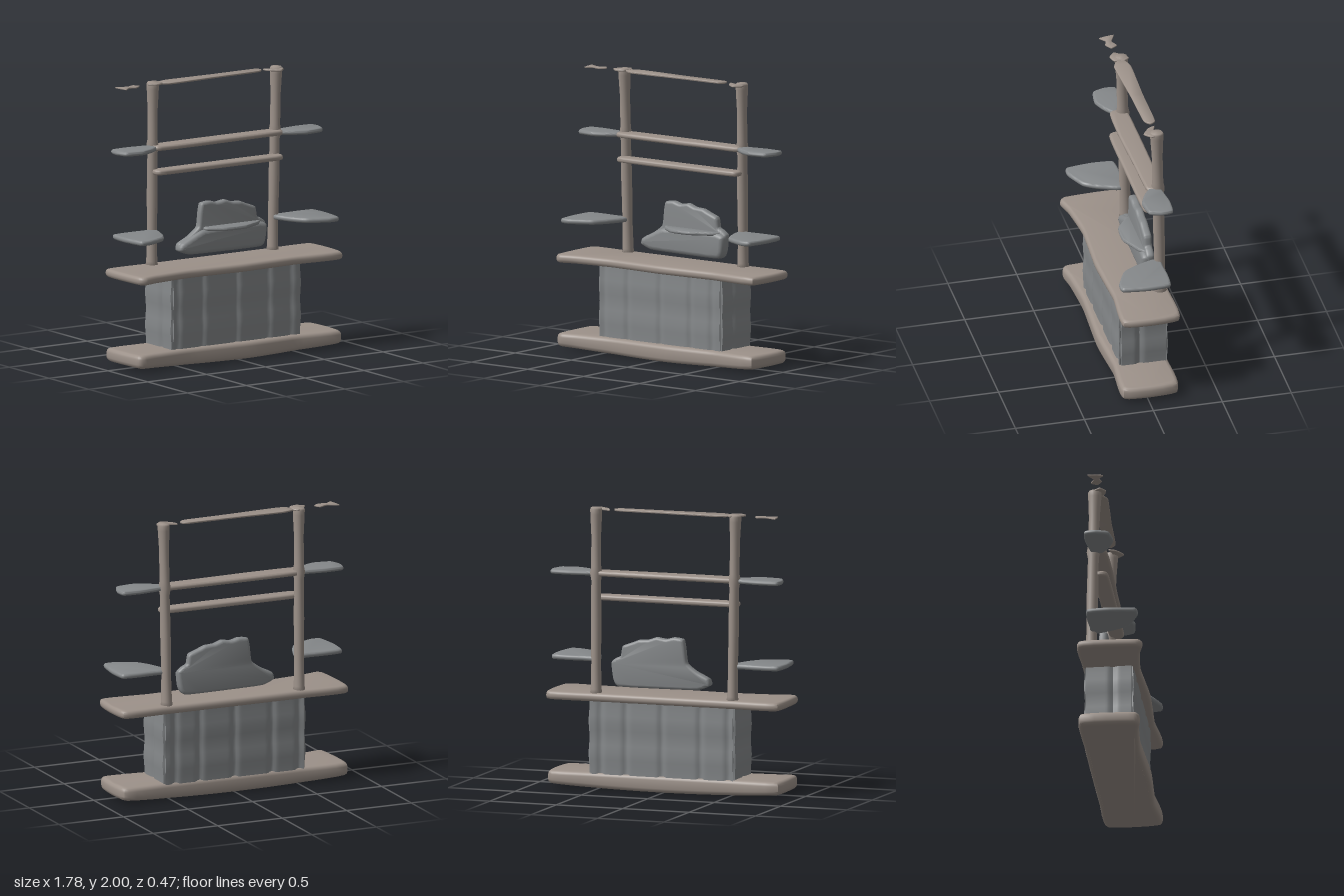
import * as THREE from 'three';
import { toCreasedNormals } from 'three/addons/utils/BufferGeometryUtils.js';

const wood = new THREE.MeshStandardMaterial({ color: 0x9c9189 });
const slate = new THREE.MeshStandardMaterial({ color: 0x85888a });

function add(group, name, geometry, material) {
  const mesh = new THREE.Mesh(geometry, material);
  mesh.name = name;
  group.add(mesh);
  return mesh;
}

// Move every vertex by a rule, then restore soft normals
function bend(geometry, rule) {
  const p = geometry.attributes.position;
  const v = new THREE.Vector3();
  for (let i = 0; i < p.count; i++) {
    rule(v.fromBufferAttribute(p, i));
    p.setXYZ(i, v.x, v.y, v.z);
  }
  geometry.computeVertexNormals();
  return geometry;
}

// Smooth closed outline from a few points
function softShape(points, tension = 0.25) {
  const curve = new THREE.CatmullRomCurve3(
    points.map(([x, y]) => new THREE.Vector3(x, y, 0)), true, 'catmullrom', tension);
  return new THREE.Shape(curve.getPoints(points.length * 6).map((p) => new THREE.Vector2(p.x, p.y)));
}

// Rounded slab: the outline is extruded along z from 0 to depth
function slab(points, depth, bevel) {
  return new THREE.ExtrudeGeometry(softShape(points), {
    depth: depth - 2 * bevel, bevelEnabled: true, bevelThickness: bevel,
    bevelSize: bevel, bevelOffset: -bevel, bevelSegments: 3,
  }).translate(0, 0, bevel);
}

// Horizontal board from [x, z] points, between heights y0 and y1
function board(points, y0, y1, bevel) {
  const g = slab(points.map(([x, z]) => [x, -z]), y1 - y0, bevel);
  g.rotateX(-Math.PI / 2).translate(0, y0, 0);
  return toCreasedNormals(g, 0.9);
}

export function createModel() {
  const model = new THREE.Group();

  // Base plank, its ends lifting slightly off the floor
  const base = board([[-0.87, -0.21], [-0.5, -0.22], [0, -0.22], [0.5, -0.22], [0.86, -0.21], [0.86, 0.18],
    [0.5, 0.17], [0.1, 0.19], [-0.4, 0.17], [-0.7, 0.19], [-0.82, 0.21], [-0.87, 0.17]], 0, 0.12, 0.03);
  add(model, 'base', toCreasedNormals(bend(base, (v) => {
    if (v.y < 0.06) v.y += 0.025 * Math.min(1, (v.x / 0.86) ** 2);
  }), 0.9), wood);

  // Cabinet with shallow upright panels on all sides
  const cabinet = new THREE.BoxGeometry(1.1, 0.52, 0.35, 80, 10, 24);
  add(model, 'cabinet', toCreasedNormals(bend(cabinet, (v) => {
    const onFront = Math.abs(v.z) > 0.174, onSide = Math.abs(v.x) > 0.549;
    const sx = Math.sign(v.x), sz = Math.sign(v.z);
    const band = 0.008 * Math.cos(v.y / 0.26 * 7);
    const x = v.x, z = v.z;
    if (onFront) {
      let groove = 0;
      for (const gx of [-0.5, -0.29, 0, 0.27, 0.46]) groove += 0.014 * Math.exp(-(((x - gx) / 0.022) ** 2));
      v.z -= sz * (groove + band * 0.4);
    }
    if (onSide) v.x -= sx * (0.014 * Math.exp(-(((z - 0.03) / 0.02) ** 2)) + band * 0.5);
    if (onFront && onSide) { v.x -= sx * 0.015; v.z -= sz * 0.01; }
  }), 0.7).translate(0.005, 0.37, -0.04), slate);

  // Counter board
  add(model, 'counter', board([[-0.87, -0.22], [-0.53, -0.23], [0, -0.23], [0.5, -0.23], [0.87, -0.22],
    [0.87, 0.18], [0.5, 0.17], [0.05, 0.19], [-0.4, 0.17], [-0.7, 0.2], [-0.82, 0.23], [-0.87, 0.18]],
  0.625, 0.685, 0.024), wood);

  // Posts lean forward and flare at head and foot
  const postProfile = [[0, 0.66], [0.046, 0.66], [0.038, 0.71], [0.034, 0.9], [0.037, 1.2],
    [0.034, 1.48], [0.043, 1.53], [0.035, 1.58], [0.034, 1.8], [0.041, 1.95], [0.042, 1.985], [0.036, 1.998], [0, 2]];
  for (const side of [-1, 1]) {
    const post = new THREE.LatheGeometry(postProfile.map(([r, y]) => new THREE.Vector2(r, y)), 20);
    const name = side > 0 ? 'left' : 'right';
    bend(post, (v) => {
      const t = (v.y - 0.66) / 1.34;
      v.x += side * (0.513 + 0.011 * t);
      v.z = v.z * (1.1 + 0.05 * t) - 0.17 + 0.03 * t;
    });
    add(model, name + 'Post', post, wood);

    // Upper wing shelf
    add(model, name + 'UpperShelf', board([[0.52, -0.16], [0.6, -0.175], [0.72, -0.19], [0.85, -0.18], [0.865, -0.1],
      [0.83, -0.01], [0.7, 0.01], [0.6, -0.03], [0.52, -0.09]].map(([x, z]) => [x * side, z]), 1.512, 1.545, 0.014), slate);

    // Lower wing shelf, narrowing to the post
    add(model, name + 'LowerShelf', board([[0.5, -0.17], [0.6, -0.17], [0.72, -0.175], [0.85, -0.16], [0.865, 0],
      [0.84, 0.18], [0.76, 0.19], [0.61, 0.12], [0.55, 0.03], [0.5, -0.1]].map(([x, z]) => [x * side, z]), 0.902, 0.938, 0.015), slate);
  }

  // Cross boards between the posts
  add(model, 'upperCrossBoard', board([[-0.53, -0.18], [-0.2, -0.19], [0.2, -0.19], [0.53, -0.18],
    [0.53, -0.07], [0.2, -0.06], [-0.2, -0.05], [-0.53, -0.06]], 1.512, 1.548, 0.015), wood);
  add(model, 'lowerCrossBoard', board([[-0.51, -0.15], [0, -0.155], [0.51, -0.15],
    [0.51, -0.05], [0, -0.045], [-0.51, -0.05]], 1.337, 1.375, 0.016), wood);

  // Thin top rail and leftover flakes of the top shelf
  add(model, 'topRail', board([[-0.48, -0.15], [-0.38, -0.18], [0, -0.17], [0.35, -0.17], [0.39, -0.13],
    [0.34, -0.09], [0, -0.08], [-0.4, -0.06], [-0.48, -0.1]], 1.98, 1.994, 0.005), wood);
  add(model, 'leftTopFlake', board([[0.42, -0.15], [0.48, -0.13], [0.55, -0.16], [0.56, -0.1],
    [0.51, -0.05], [0.44, -0.1]], 1.976, 1.99, 0.005), wood);
  add(model, 'rightTopFlake', board([[-0.56, -0.14], [-0.5, -0.19], [-0.47, -0.15], [-0.48, -0.08],
    [-0.54, -0.06], [-0.59, -0.1]], 1.984, 1.998, 0.005), wood);
  add(model, 'looseFlake', board([[-0.83, -0.16], [-0.75, -0.125], [-0.69, -0.15], [-0.66, -0.105],
    [-0.71, -0.07], [-0.76, -0.085], [-0.81, -0.05]], 1.981, 1.991, 0.004), wood);

  // Hanging centrepiece: rugged back plate, bulging lower body and ledge
  const centre = new THREE.Group();
  centre.name = 'centrepiece';
  model.add(centre);
  const plate = slab([[-0.33, 0.77], [-0.24, 0.735], [0, 0.73], [0.35, 0.73], [0.395, 0.78], [0.41, 0.9],
    [0.37, 0.935], [0.34, 0.95], [0.325, 1.02], [0.25, 1.05], [0.2, 1.07], [0.13, 1.075], [0.07, 1.095],
    [0, 1.085], [-0.06, 1.1], [-0.13, 1.09], [-0.145, 1.03], [-0.16, 0.92], [-0.24, 0.86], [-0.32, 0.82]], 0.06, 0.02);
  add(centre, 'backPlate', toCreasedNormals(plate.translate(0, 0, -0.155), 0.9), slate);
  const body = slab([[-0.33, 0.77], [-0.24, 0.737], [0, 0.732], [0.35, 0.732], [0.395, 0.78], [0.405, 0.89],
    [0.33, 0.915], [0, 0.91], [-0.14, 0.9], [-0.24, 0.855], [-0.32, 0.815]], 0.085, 0.03);
  add(centre, 'lowerBody', toCreasedNormals(body.translate(0, 0, -0.15), 0.9), slate);
  add(centre, 'ledge', board([[-0.12, -0.11], [0.1, -0.11], [0.36, -0.11], [0.32, -0.06], [0.24, -0.02],
    [0.17, 0.015], [0.08, 0.02], [0, 0.01], [-0.06, -0.03], [-0.11, -0.07]], 0.895, 0.922, 0.01), slate);

  return model;
}
